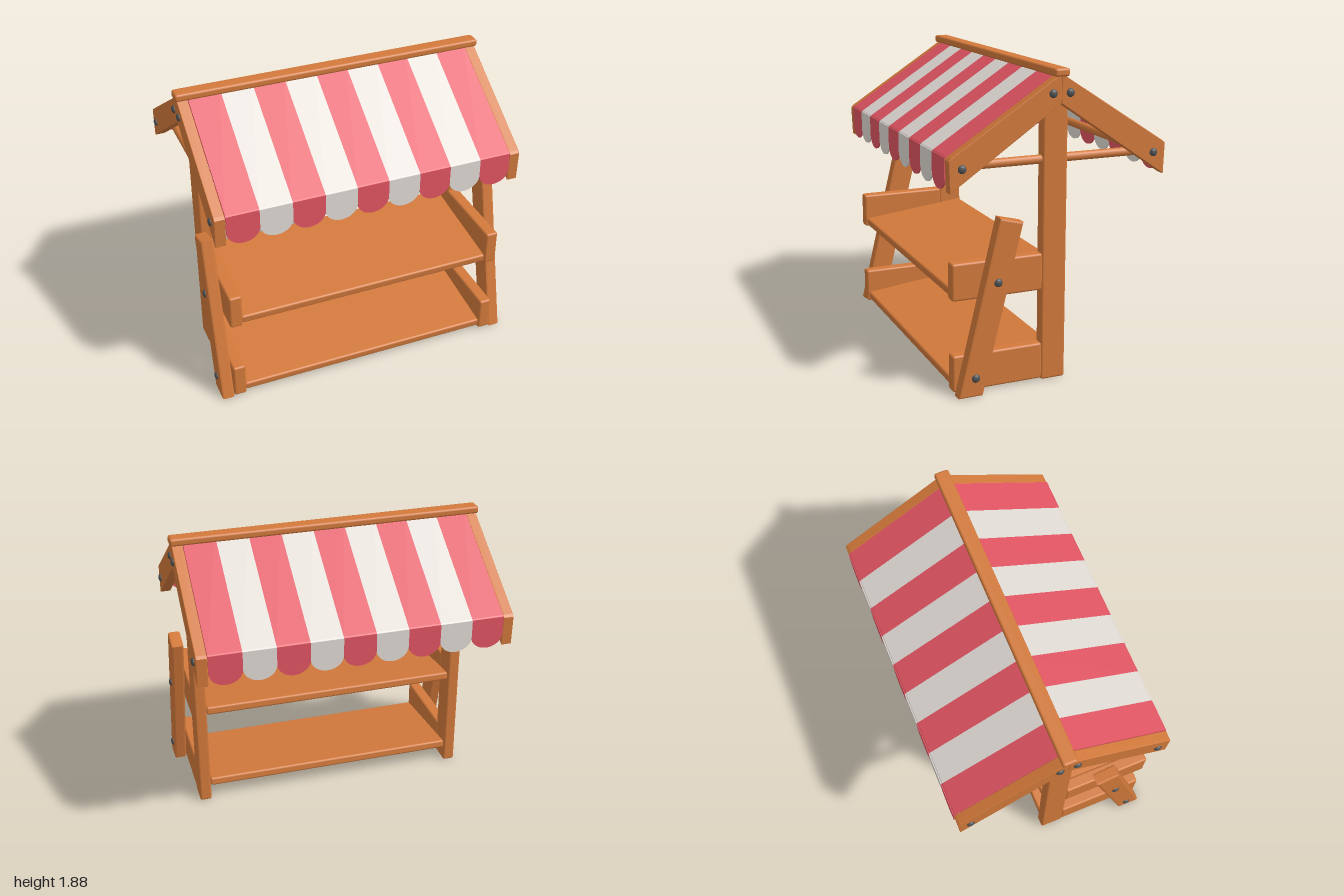
import * as THREE from 'three';
import { RoundedBoxGeometry } from 'three/addons/geometries/RoundedBoxGeometry.js';

export function createModel() {
  const model = new THREE.Group();
  model.name = 'marketStall';

  const mat = (name, color) => {
    const m = new THREE.MeshStandardMaterial({ color });
    m.name = name;
    return m;
  };
  const wood = mat('wood', 0xd2793b);
  const red = mat('red cloth', 0xe05562);
  const white = mat('white cloth', 0xe0dad4);
  const metal = mat('dark metal', 0x505254);

  const add = (name, geometry, material, x = 0, y = 0, z = 0) => {
    const mesh = new THREE.Mesh(geometry, material);
    mesh.name = name;
    mesh.position.set(x, y, z);
    model.add(mesh);
    return mesh;
  };

  // Rounded board given by its limits on each axis
  const board = (name, x0, x1, y0, y1, z0, z1, r = 0.014) =>
    add(name, new RoundedBoxGeometry(x1 - x0, y1 - y0, z1 - z0, 2, r), wood,
      (x0 + x1) / 2, (y0 + y1) / 2, (z0 + z1) / 2);

  // Outline in (z, y), extruded along x and centred on x = 0
  const sidePrism = (points, width, bevel = 0) => {
    const shape = new THREE.Shape(points.map(([z, y]) => new THREE.Vector2(z, y)));
    const depth = width - 2 * bevel;
    return new THREE.ExtrudeGeometry(shape, {
      depth, bevelEnabled: bevel > 0, bevelThickness: bevel, bevelSize: bevel,
      bevelOffset: -bevel, bevelSegments: 2,
    }).translate(0, 0, -depth / 2).rotateY(-Math.PI / 2);
  };

  const boltGeometry = new THREE.SphereGeometry(0.025, 16, 10).scale(0.6, 1, 1);
  const legGeometry = sidePrism(
    [[0.635, 0.005], [0.485, 0.005], [0.232, 1.02], [0.378, 1.058]], 0.08, 0.012);
  const dowelGeometry = new THREE.CylinderGeometry(0.027, 0.027, 1, 14);

  for (const s of [1, -1]) {
    const side = s > 0 ? 'left' : 'right';
    const lo = (a, b) => Math.min(s * a, s * b);
    const hi = (a, b) => Math.max(s * a, s * b);

    // Upright post, shelf brackets and leaning leg
    board(side + 'Post', lo(0.83, 0.907), hi(0.83, 0.907), 0.005, 1.74, -0.075, 0.08);
    for (const y of [0.015, 0.57]) {
      board(side + 'ShelfBracket', lo(0.825, 0.905), hi(0.825, 0.905), y, y + 0.224, 0.075, 0.64);
    }
    add(side + 'LeaningLeg', legGeometry, wood, s * 0.945);
    for (const [z, y] of [[0.53, 0.12], [0.39, 0.68]]) {
      add(side + 'LegBolt', boltGeometry, metal, s * 0.985, y, z);
    }

    // Rafters, front and back
    for (const f of [1, -1]) {
      const outline = [[0, 1.68], [f * 0.673, 1.22], [f * 0.68, 1.405], [f * 0.665, 1.42], [0, 1.85]];
      add(side + 'Rafter', sidePrism(outline, 0.066, 0.004), wood, s * 0.94);
      for (const [z, y] of [[0.053, 1.74], [0.602, 1.355]]) {
        add(side + 'RafterBolt', boltGeometry, metal, s * 0.974, y, f * z);
      }
    }

    // Dowel running front to back under the roof
    const tie = add(side + 'TieDowel', dowelGeometry, wood, s * 0.87, 1.35, 0);
    tie.rotation.x = Math.PI / 2;
    tie.scale.y = 1.2;
  }

  // Sloping shelves, higher at the back
  for (const y of [0.095, 0.643]) {
    const shelf = add('shelf', new RoundedBoxGeometry(1.66, 0.055, 0.70, 2, 0.014), wood, 0, y, 0.28);
    shelf.rotation.x = 0.118;
  }

  // Ridge beam and long dowels at the eaves
  board('ridgeBeam', -0.985, 0.985, 1.832, 1.88, -0.046, 0.046, 0.015);
  for (const f of [1, -1]) {
    const eave = add('eaveDowel', dowelGeometry, wood, 0, 1.355, f * 0.6);
    eave.rotation.z = Math.PI / 2;
    eave.scale.y = 1.82;
  }

  // Striped awning: sloped strips that end in scalloped flaps
  const count = 9;
  const w = 1.81 / count;
  const flap = new THREE.Shape();
  flap.moveTo(w / 2, 1.415);
  flap.lineTo(-w / 2, 1.415);
  flap.lineTo(-w / 2, 1.305);
  flap.absellipse(0, 1.305, w / 2, 0.085, Math.PI, Math.PI * 2, false);
  const flapGeometry = new THREE.ExtrudeGeometry(flap, { depth: 0.01, bevelEnabled: false, curveSegments: 16 })
    .translate(0, 0, -0.005);
  for (const f of [1, -1]) {
    const strip = sidePrism(
      [[0, 1.838], [f * 0.666, 1.408], [f * 0.68, 1.395], [f * 0.682, 1.41], [f * 0.672, 1.422], [0, 1.855]], w);
    for (let i = 0; i < count; i++) {
      const cloth = i % 2 ? white : red;
      const x = (i - (count - 1) / 2) * w;
      add('awningStrip', strip, cloth, x);
      add('awningFlap', flapGeometry, cloth, x, 0, f * 0.677);
    }
  }

  return model;
}
